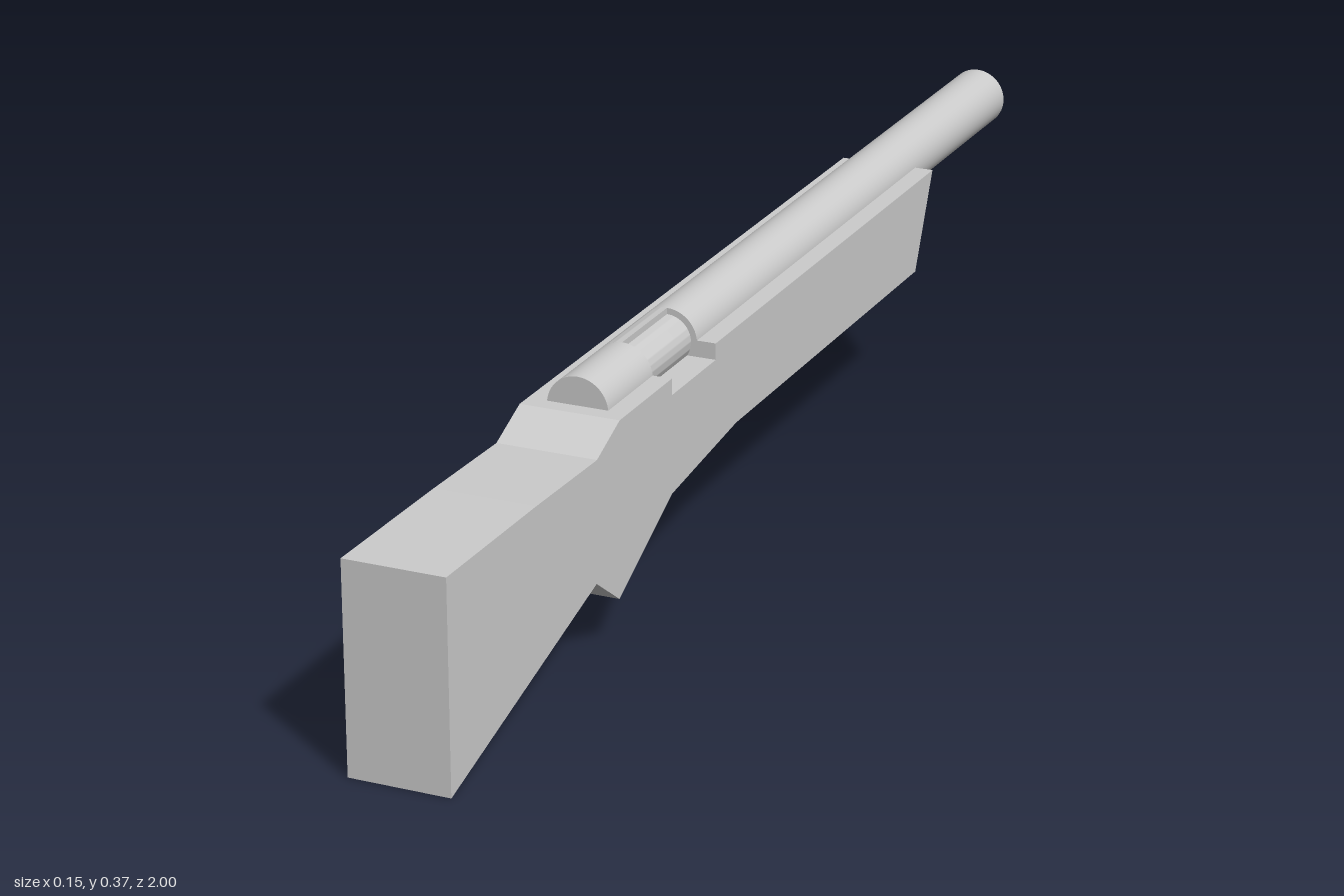
import * as THREE from 'three';
import { toCreasedNormals } from 'three/addons/utils/BufferGeometryUtils.js';

const HALF = 0.073;      // half width of the stock
const TOP = 0.324;       // top line of the stock
const R = 0.045;         // barrel radius
const AXIS = 0.32;       // height of the barrel axis
const PORT = [0.19, 0.335]; // z range of the side port
const PORT_X = 0.03;     // inner wall of the port

export function createModel() {
  const model = new THREE.Group();
  const grey = new THREE.MeshStandardMaterial({ color: 0xcccccc });
  grey.name = 'light grey';

  const add = (name, geometry) => {
    const mesh = new THREE.Mesh(geometry, grey);
    mesh.name = name;
    model.add(mesh);
  };

  // Side outline of the stock as (z, y); the port notch is optional
  const stockSlab = (xMin, xMax, notched) => {
    const notch = notched
      ? [[PORT[1], TOP], [PORT[1], 0.3], [PORT[0], 0.3], [PORT[0], TOP]] : [];
    const outline = [
      [1, 0], [1, 0.3], [0.75, 0.298], [0.57, 0.294], [0.5, TOP],
      ...notch,
      [-0.62, TOP], [-0.555, 0.182], [0.12, 0.182], [0.335, 0.157],
      [0.505, 0.07], [0.575, 0.12],
    ].map(([z, y]) => new THREE.Vector2(z, y));
    return new THREE.ExtrudeGeometry(new THREE.Shape(outline), {
      depth: xMax - xMin, bevelEnabled: false,
    }).rotateY(-Math.PI / 2).translate(xMax, 0, 0);
  };
  add('stock', stockSlab(-HALF, PORT_X, false));
  add('stockPortSide', stockSlab(PORT_X, HALF, true));

  // Full round barrel ahead of and behind the port
  const tube = (z0, z1) => new THREE.CylinderGeometry(R, R, z1 - z0, 48)
    .rotateX(Math.PI / 2).translate(0, AXIS, (z0 + z1) / 2);
  add('barrel', tube(-1, PORT[0]));
  add('receiverEnd', tube(PORT[1], 0.475));

  // Port section: full radius on the right, a slimmer bolt showing on the left
  const section = new THREE.Shape();
  section.absarc(0, 0, R, Math.PI / 2, Math.PI * 1.5, false);
  section.absarc(0, 0, 0.036, -Math.PI / 2, Math.PI / 2, false);
  const bolt = new THREE.ExtrudeGeometry(section, {
    depth: PORT[1] - PORT[0], bevelEnabled: false, curveSegments: 24,
  }).translate(0, AXIS, PORT[0]);
  add('bolt', toCreasedNormals(bolt, 0.6));

  return model;
}
